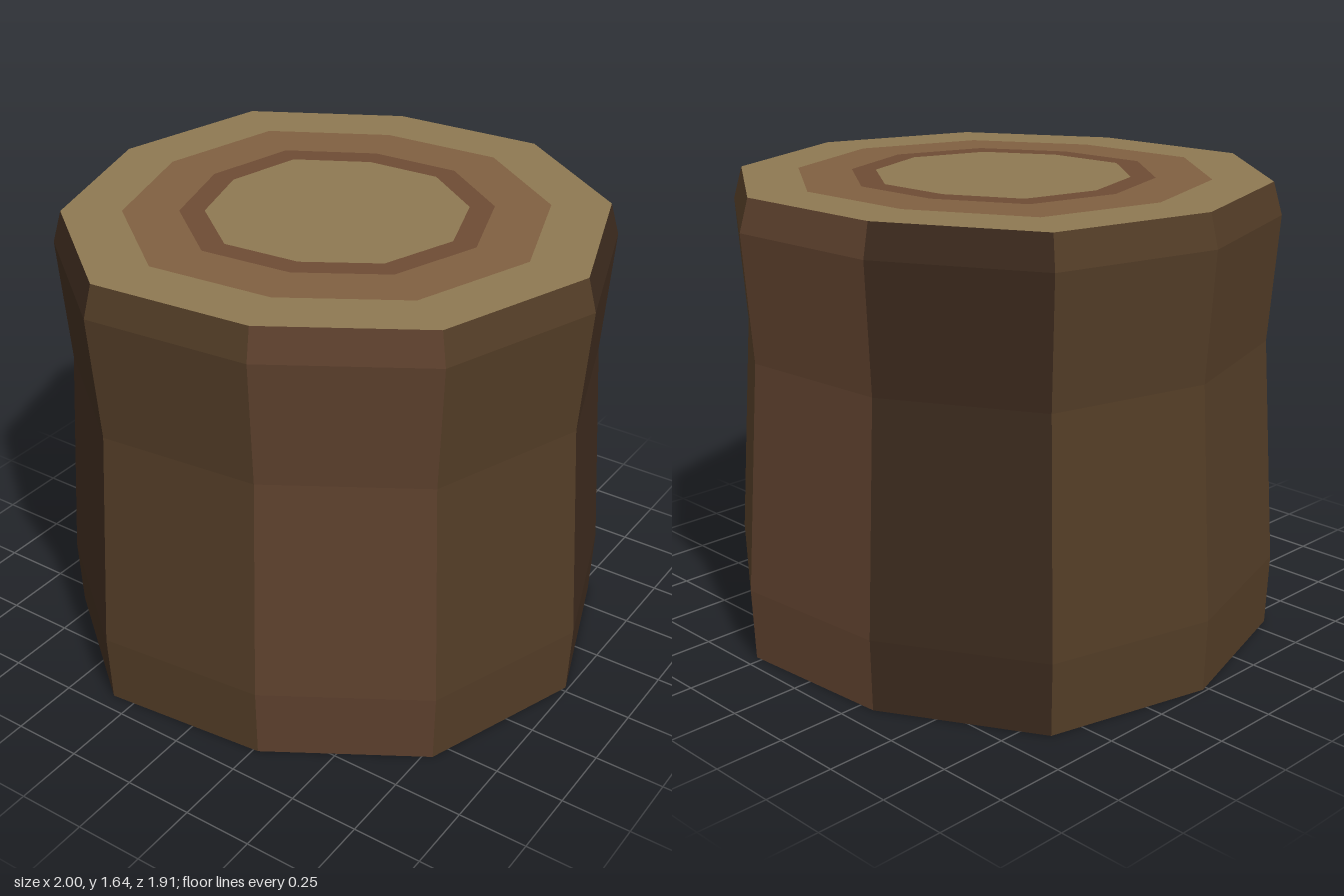
import * as THREE from 'three';

// Irregular ten-sided outline of the trunk, as [x, z], running from +x towards +z
const OUTLINE = [
  [1.0, -0.02], [0.79, 0.57], [0.27, 0.89], [-0.34, 0.95], [-0.82, 0.57],
  [-1.0, -0.02], [-0.85, -0.62], [-0.31, -0.92], [0.28, -0.96], [0.79, -0.61],
];
const SIDES = OUTLINE.length;
const TOP = 1.645;

// Bark profile from ground to bevelled rim, as [outline scale, height]
const PROFILE = [[0.99, 0], [1, 0.26], [0.945, 1.08], [0.977, 1.53], [0.945, TOP]];

const OLIVE = 0x523c26, RED = 0x5d402d, DARK = 0x3c2a1d;
const BARK = [OLIVE, RED, OLIVE, DARK, OLIVE, OLIVE, DARK, RED, OLIVE, DARK];

function corner(i, [scale, y]) {
  const [x, z] = OUTLINE[i % SIDES];
  return [x * scale, y, z * scale];
}

// Faceted skin through a list of levels, over the chosen sides of the outline
function skin(name, color, levels, first = 0, count = SIDES) {
  const pos = [];
  for (let i = first; i < first + count; i++) {
    for (let k = 0; k < levels.length - 1; k++) {
      const lo = levels[k], hi = levels[k + 1];
      const a = corner(i, lo), b = corner(i + 1, lo);
      const c = corner(i, hi), d = corner(i + 1, hi);
      if (lo[0] > 0) pos.push(...b, ...a, ...c);
      if (hi[0] > 0) pos.push(...b, ...c, ...d);
    }
  }
  const geometry = new THREE.BufferGeometry();
  geometry.setAttribute('position', new THREE.Float32BufferAttribute(pos, 3));
  geometry.computeVertexNormals();
  const mesh = new THREE.Mesh(geometry, new THREE.MeshStandardMaterial({ color, flatShading: true }));
  mesh.name = name;
  return mesh;
}

export function createModel() {
  const stump = new THREE.Group();
  stump.name = 'treeStump';

  // Bark: one vertical strip per side, in alternating browns
  const bark = new THREE.Group();
  bark.name = 'bark';
  BARK.forEach((color, i) => bark.add(skin(`barkStrip${i + 1}`, color, PROFILE, i, 1)));
  stump.add(bark);

  // Cut face: flat growth rings from the rim to the centre
  const rings = [
    ['outerWood', 0x8d7851, 0.945, 0.735],
    ['wideGrowthRing', 0x7f5f40, 0.735, 0.54],
    ['narrowGrowthRing', 0x6d4b34, 0.54, 0.453],
    ['heartwood', 0x8d7851, 0.453, 0],
  ];
  for (const [name, color, outer, inner] of rings) {
    stump.add(skin(name, color, [[outer, TOP], [inner, TOP]]));
  }

  // Underside
  stump.add(skin('underside', DARK, [[0, 0], PROFILE[0]]));
  return stump;
}
